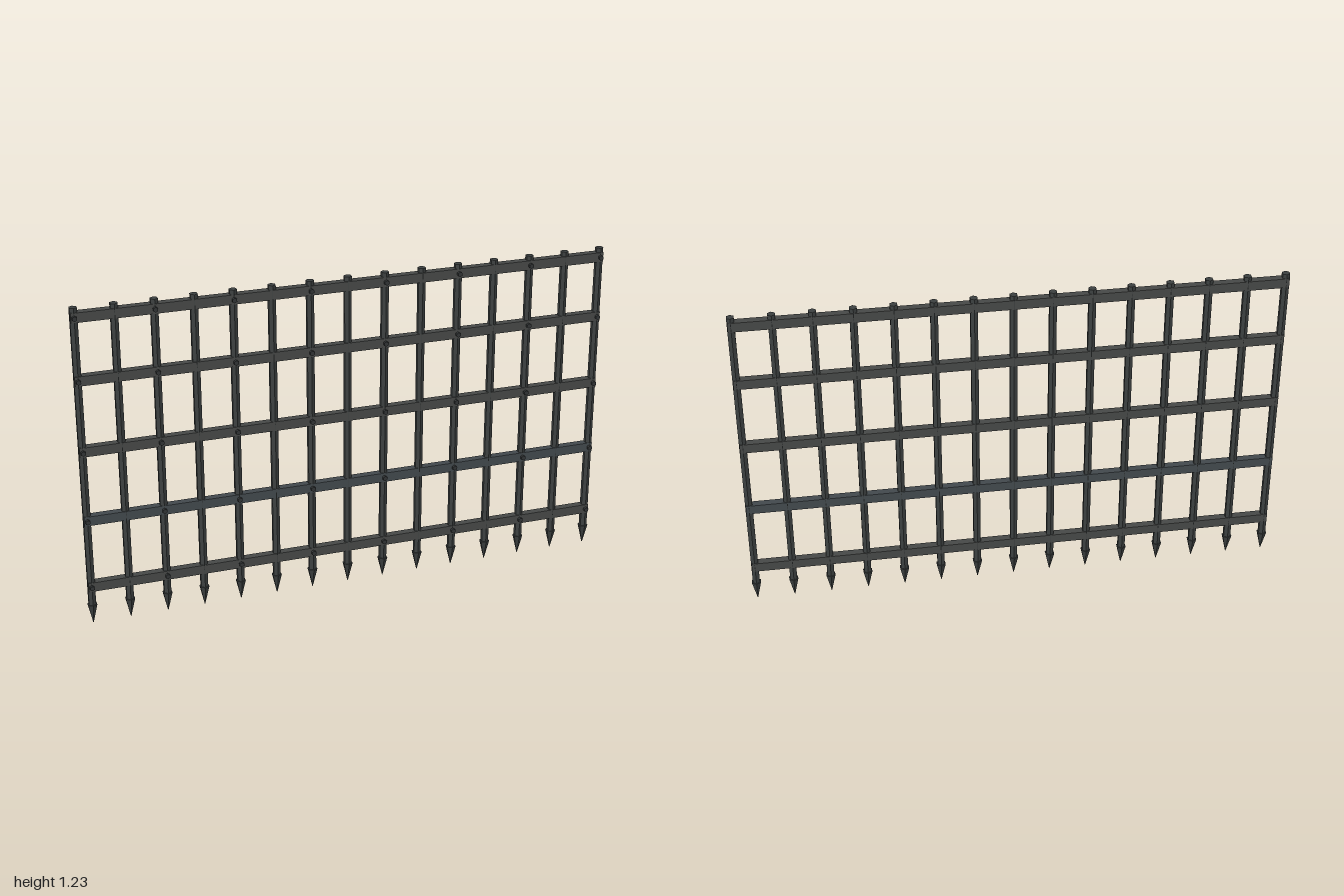
import * as THREE from 'three';

export function createModel() {
  const flat = (name, color) => {
    const m = new THREE.MeshStandardMaterial({ color, flatShading: true });
    m.name = name;
    return m;
  };
  const barIron = flat('bar iron', 0x3d4141);
  const railIron = flat('rail iron', 0x474948);
  const blueIron = flat('blue iron', 0x434a4e);
  const rivetIron = flat('rivet iron', 0x323536);

  const gate = new THREE.Group();
  gate.name = 'portcullis';
  const add = (name, geometry, material, x, y, z) => {
    const mesh = new THREE.Mesh(geometry, material);
    mesh.name = name;
    mesh.position.set(x, y, z);
    gate.add(mesh);
  };

  const zMid = -0.002; // plane of the grille
  const barCount = 15, barSpan = 1.967;
  const barX = (i) => (i / (barCount - 1) - 0.5) * barSpan;
  const top = 1.23, tipTop = 0.077;

  // Upright hexagonal bars with pointed feet
  const barGeo = new THREE.CylinderGeometry(0.0152, 0.0152, top - tipTop, 6);
  const tipGeo = new THREE.CylinderGeometry(0.0195, 0.001, tipTop, 6);
  for (let i = 0; i < barCount; i++) {
    add('bar', barGeo, barIron, barX(i), (top + tipTop) / 2, zMid);
    add('spike', tipGeo, barIron, barX(i), tipTop / 2, zMid);
  }

  // Cross rails, riveted at every other bar on the front
  const railGeo = new THREE.BoxGeometry(1.99, 0.036, 0.029);
  const rivetGeo = new THREE.CylinderGeometry(0.0095, 0.0095, 0.014, 6).rotateX(Math.PI / 2);
  [0.152, 0.42, 0.691, 0.961, 1.195].forEach((y, r) => {
    add('rail', railGeo, r === 1 ? blueIron : railIron, 0, y, zMid);
    for (let i = 0; i < barCount; i += 2) add('rivet', rivetGeo, rivetIron, barX(i), y, 0.0165);
  });
  return gate;
}
